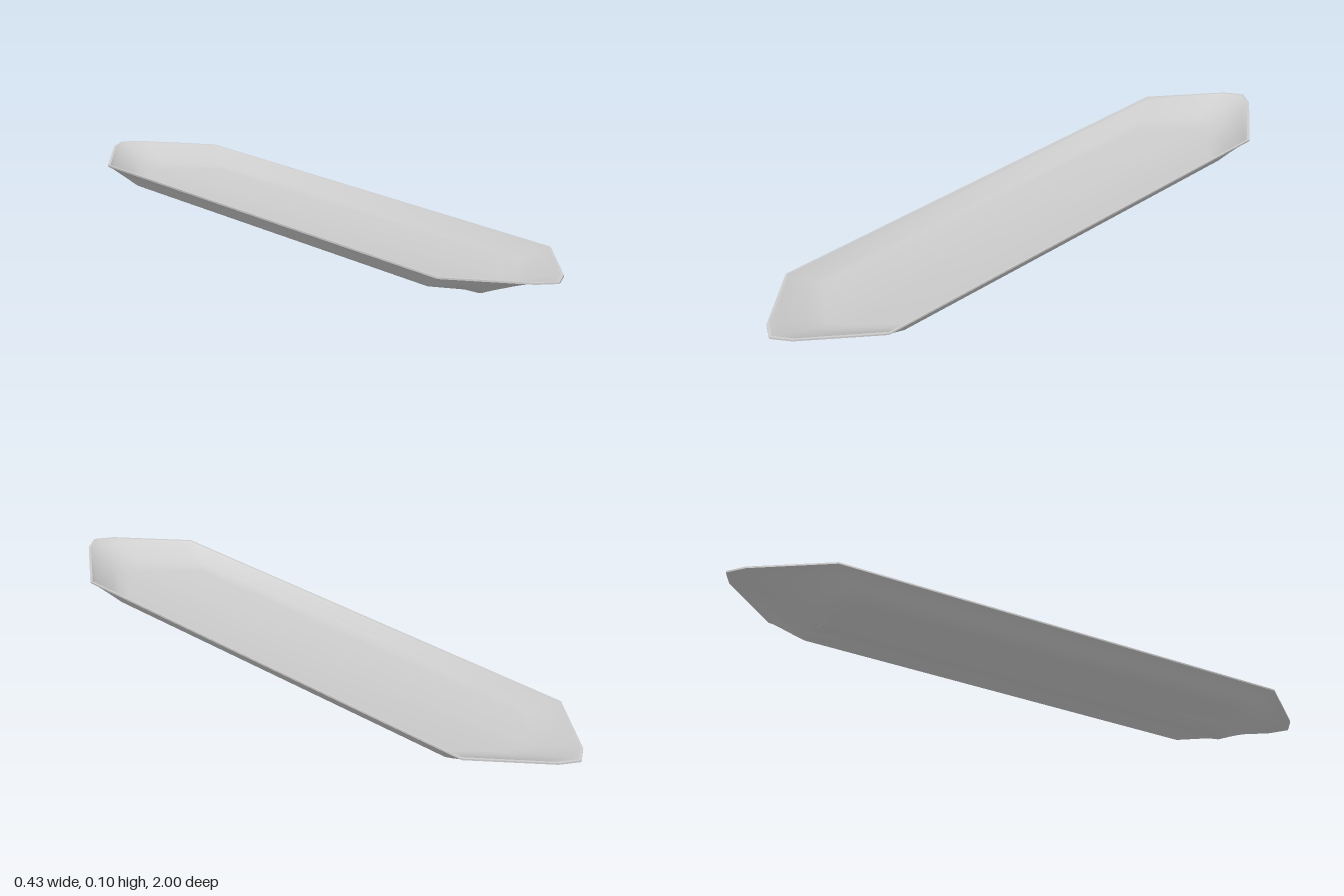
import * as THREE from 'three';
import { toCreasedNormals } from 'three/addons/utils/BufferGeometryUtils.js';

// One horizontal outline: two parallel sides with a blunted point at each end.
// w = half width, s = z of the shoulder, t = z of the tip
function outline([y, w, s, t]) {
  const nx = w * 0.25, nz = t - (t - s) * 0.15;
  const quarter = [[0, t], [nx, nz], [w, s]];
  const half = [...quarter, ...quarter.map(([x, z]) => [x, -z]).reverse()];
  const mirrored = half.slice(1, -1).reverse().map(([x, z]) => [-x, z]);
  return [...half, ...mirrored].map(([x, z]) => [x, y, z]);
}

// Skin a stack of outlines; optionally close the first (facing down) or last (facing up)
function loft(levels, { capBottom = false, capTop = false } = {}) {
  const rings = levels.map(outline);
  const n = rings[0].length;
  const pos = [];
  const tri = (...pts) => pts.forEach((p) => pos.push(...p));
  for (let i = 0; i < rings.length - 1; i++) {
    for (let j = 0; j < n; j++) {
      const k = (j + 1) % n;
      tri(rings[i][j], rings[i][k], rings[i + 1][k]);
      tri(rings[i][j], rings[i + 1][k], rings[i + 1][j]);
    }
  }
  const first = rings[0], last = rings[rings.length - 1];
  for (let j = 0; j < n; j++) {
    const k = (j + 1) % n;
    if (capBottom) tri([0, first[0][1], 0], first[k], first[j]);
    if (capTop) tri([0, last[0][1], 0], last[j], last[k]);
  }
  const geometry = new THREE.BufferGeometry();
  geometry.setAttribute('position', new THREE.Float32BufferAttribute(pos, 3));
  return toCreasedNormals(geometry, 0.75);
}

export function createModel() {
  const model = new THREE.Group();
  model.name = 'shallowHull';
  const material = new THREE.MeshStandardMaterial({ color: 0xcccccc });
  const add = (name, geometry) => {
    const mesh = new THREE.Mesh(geometry, material);
    mesh.name = name;
    model.add(mesh);
  };

  // Outer shell from the narrow keel up over the chine to the rim
  add('outerHull', loft([
    [0, 0.01, 0.715, 0.72],
    [0.015, 0.05, 0.7, 0.755],
    [0.035, 0.15, 0.66, 0.805],
    [0.045, 0.17, 0.67, 0.83],
    [0.06, 0.18, 0.705, 0.87],
    [0.08, 0.197, 0.74, 0.935],
    [0.09, 0.207, 0.755, 0.97],
    [0.095, 0.215, 0.765, 1],
    [0.1, 0.215, 0.765, 1],
  ], { capBottom: true }));

  // Thin flat edge around the top
  add('rim', loft([
    [0.1, 0.215, 0.765, 1],
    [0.1, 0.209, 0.76, 0.99],
  ]));

  // Sloping inner walls easing into a flat floor
  add('innerTray', loft([
    [0.1, 0.209, 0.76, 0.99],
    [0.093, 0.204, 0.754, 0.965],
    [0.08, 0.193, 0.738, 0.925],
    [0.062, 0.178, 0.705, 0.865],
    [0.052, 0.169, 0.675, 0.825],
    [0.048, 0.155, 0.65, 0.79],
  ], { capTop: true }));

  return model;
}
